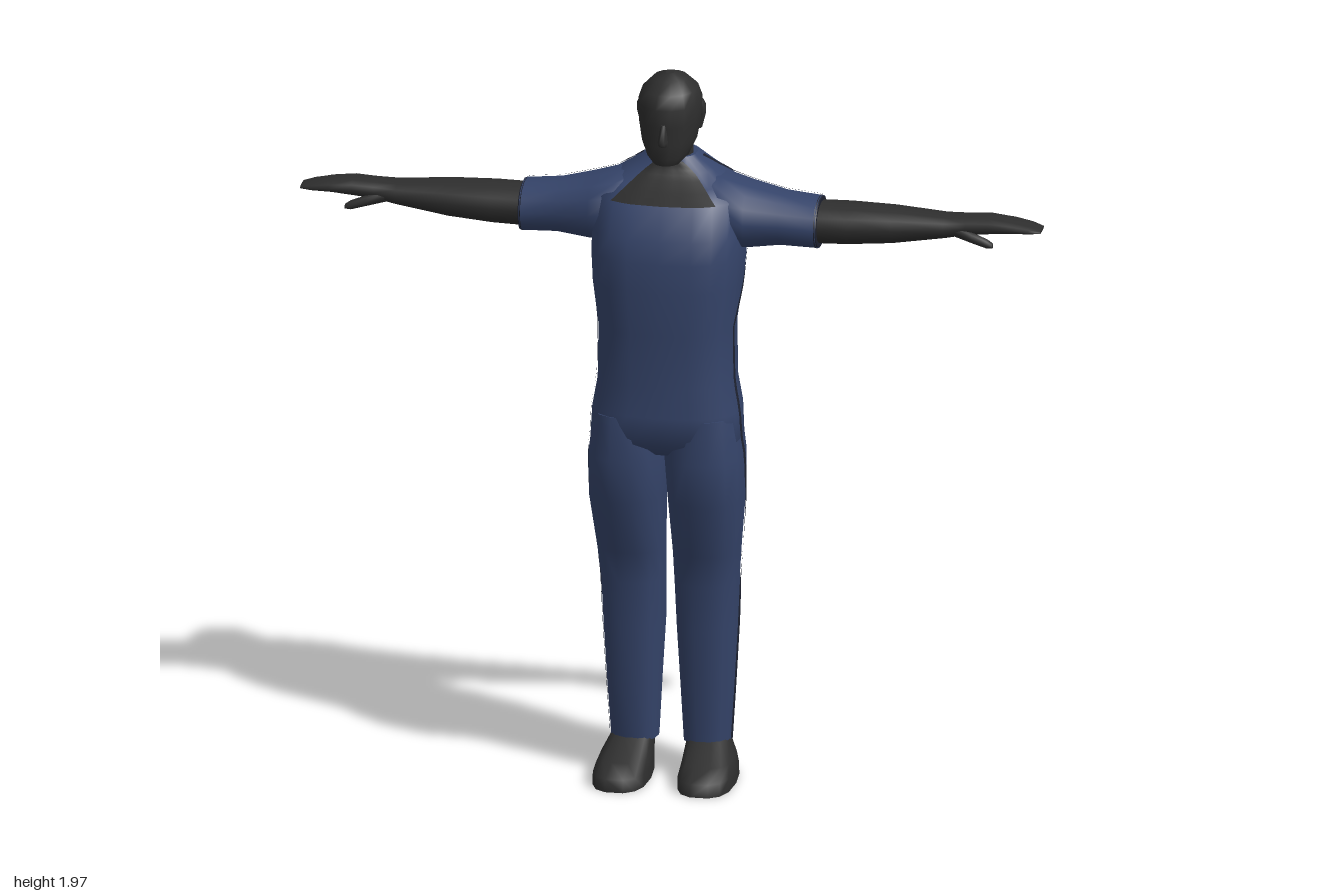
import * as THREE from 'three';

const paint = (name, color, side = THREE.FrontSide) => {
  const m = new THREE.MeshStandardMaterial({ color, side });
  m.name = name;
  return m;
};

// Skin of rounded rings: each section is [position, aMin, aMax, bMin, bMax].
// Along y: a = x, b = z.  Along x: a = z, b = y.
function loft(axis, sections, power = 2.2, sides = 14) {
  const pos = [], idx = [];
  const place = (s, a, b) => (axis === 'y' ? pos.push(a, s, b) : pos.push(s, b, a));
  const ring = ([s, a0, a1, b0, b1]) => {
    for (let j = 0; j < sides; j++) {
      const t = (j / sides) * Math.PI * 2, c = Math.cos(t), n = Math.sin(t);
      place(s,
        (a0 + a1) / 2 + ((a1 - a0) / 2) * Math.sign(c) * Math.abs(c) ** (2 / power),
        (b0 + b1) / 2 + ((b1 - b0) / 2) * Math.sign(n) * Math.abs(n) ** (2 / power));
    }
  };
  sections.forEach(ring);
  for (let i = 0; i < sections.length - 1; i++) {
    for (let j = 0; j < sides; j++) {
      const a = i * sides + j, b = i * sides + (j + 1) % sides;
      idx.push(a, a + sides, b, b, a + sides, b + sides);
    }
  }
  // End caps with their own vertices, so the rims stay sharp
  [sections[0], sections[sections.length - 1]].forEach((s, end) => {
    const base = pos.length / 3;
    ring(s);
    place(s[0], (s[1] + s[2]) / 2, (s[3] + s[4]) / 2);
    for (let j = 0; j < sides; j++) {
      const p = base + j, q = base + (j + 1) % sides;
      idx.push(base + sides, end ? q : p, end ? p : q);
    }
  });
  return build(pos, idx);
}

function build(pos, idx) {
  const g = new THREE.BufferGeometry();
  g.setAttribute('position', new THREE.Float32BufferAttribute(pos, 3));
  g.setIndex(idx);
  g.computeVertexNormals();
  return g;
}

function mirrored(geometry) {
  const g = geometry.clone().scale(-1, 1, 1), ix = g.index.array;
  for (let i = 0; i < ix.length; i += 3) [ix[i], ix[i + 1]] = [ix[i + 1], ix[i]];
  g.computeVertexNormals();
  return g;
}

// Ribbon between two edge curves, dropped onto the target meshes along dir
function ribbon(targets, edgeA, edgeB, dir, rows = 24, cols = 1) {
  const pos = [], idx = [], ray = new THREE.Raycaster();
  const w = cols + 1;
  for (let i = 0; i <= rows; i++) {
    for (let j = 0; j <= cols; j++) {
      const p = edgeA(i / rows).lerp(edgeB(i / rows), j / cols);
      ray.set(p.clone().addScaledVector(dir, -3), dir);
      const hit = ray.intersectObjects(targets)[0];
      const q = hit ? hit.point : p;
      q.addScaledVector(dir, -0.004);
      pos.push(q.x, q.y, q.z);
      if (i < rows && j < cols) {
        const a = i * w + j;
        idx.push(a, a + 1, a + w, a + 1, a + w + 1, a + w);
      }
    }
  }
  return build(pos, idx);
}

// Stripe of constant width along a polyline of [x, y, z]
function stripe(targets, points, dir, side, rows) {
  const path = new THREE.CurvePath(), v = points.map((p) => new THREE.Vector3(...p));
  for (let i = 1; i < v.length; i++) path.add(new THREE.LineCurve3(v[i - 1], v[i]));
  const edge = (k) => (t) => path.getPoint(t).addScaledVector(side, k);
  return ribbon(targets, edge(-1), edge(1), dir, rows);
}

export function createModel() {
  const model = new THREE.Group();
  model.name = 'figure';
  const suit = paint('navy suit', 0x35446a);
  const dark = paint('charcoal', 0x2e2e2e);
  const panelDark = paint('charcoal panel', 0x2e2e2e, THREE.DoubleSide);
  panelDark.color.set(0x2b2b2b);
  const trim = paint('dark trim', 0x1e2230, THREE.DoubleSide);

  const add = (name, geometry, material) => {
    const m = new THREE.Mesh(geometry, material);
    m.name = name;
    model.add(m);
    return m;
  };
  const pair = (name, geometry, material) => {
    add('right' + name, mirrored(geometry), material);
    return add('left' + name, geometry, material);
  };

  // Torso: [y, half width, back z, front z]
  const torso = add('torso', loft('y', [
    [0.93, 0.17, -0.07, 0.11], [0.97, 0.205, -0.105, 0.155], [1.05, 0.2, -0.12, 0.163],
    [1.13, 0.186, -0.11, 0.15], [1.28, 0.183, -0.13, 0.163], [1.4, 0.2, -0.15, 0.165],
    [1.48, 0.205, -0.165, 0.163], [1.54, 0.205, -0.173, 0.15], [1.63, 0.198, -0.18, 0.112],
    [1.66, 0.17, -0.168, 0.055], [1.69, 0.12, -0.148, 0.01], [1.73, 0.065, -0.125, -0.005],
  ].map(([y, r, b, f]) => [y, -r, r, b, f]), 2.7, 20), suit);

  // Trouser legs: [y, inner x, outer x, back z, front z]
  const leg = pair('Leg', loft('y', [
    [0.095, 0.034, 0.162, -0.105, 0.032], [0.25, 0.026, 0.172, -0.118, 0.048],
    [0.42, 0.016, 0.182, -0.13, 0.06], [0.55, 0.012, 0.186, -0.112, 0.07],
    [0.64, 0.01, 0.194, -0.1, 0.088], [0.8, 0.004, 0.209, -0.104, 0.148],
    [0.92, -0.004, 0.21, -0.107, 0.16], [1.04, 0.01, 0.195, -0.1, 0.15],
  ], 2.4, 14), suit);

  // Shoes with a low toe
  pair('Shoe', loft('y', [
    [0, 0.04, 0.19, -0.092, 0.188], [0.035, 0.04, 0.189, -0.092, 0.185],
    [0.06, 0.042, 0.18, -0.09, 0.12], [0.11, 0.045, 0.155, -0.088, 0.02],
  ], 2.7, 14), dark);

  // Short sleeves: [x, back z, front z, bottom y, top y]
  const sleeve = pair('Sleeve', loft('x', [
    [0.07, -0.15, 0.02, 1.52, 1.69], [0.14, -0.165, 0.08, 1.49, 1.68],
    [0.21, -0.153, 0.068, 1.485, 1.66], [0.3, -0.138, 0.045, 1.495, 1.637],
    [0.4, -0.13, 0.04, 1.492, 1.628],
  ], 2.3, 14), suit);
  pair('Cuff', loft('x', [
    [0.396, -0.131, 0.041, 1.491, 1.629], [0.403, -0.128, 0.038, 1.494, 1.626],
  ], 2.3, 14), trim);

  // Arms running out into flat hands
  pair('Arm', loft('x', [
    [0.36, -0.122, 0.03, 1.505, 1.615], [0.48, -0.122, 0.028, 1.508, 1.617],
    [0.6, -0.112, 0.02, 1.518, 1.615], [0.74, -0.098, 0.004, 1.54, 1.604],
    [0.8, -0.095, 0.002, 1.553, 1.605], [0.86, -0.098, 0.006, 1.56, 1.608],
    [0.92, -0.092, 0.008, 1.567, 1.602], [0.97, -0.082, 0.004, 1.57, 1.592],
    [1, -0.07, -0.01, 1.572, 1.582],
  ], 2.2, 12), dark);
  pair('Thumb', loft('x', [
    [0.77, -0.035, 0, 1.55, 1.585], [0.82, -0.018, 0.014, 1.54, 1.57],
    [0.86, -0.01, 0.018, 1.53, 1.556], [0.875, -0.005, 0.014, 1.532, 1.545],
  ], 2, 8), dark);

  // Neck, head, nose and ears
  add('neck', loft('y', [
    [1.68, -0.062, 0.062, -0.118, 0.005], [1.74, -0.055, 0.055, -0.103, -0.005],
    [1.8, -0.06, 0.06, -0.11, 0.02],
  ], 2, 12), dark);
  add('head', loft('y', [
    [1.73, 0.036, -0.01, 0.076], [1.75, 0.056, -0.06, 0.086], [1.79, 0.074, -0.108, 0.09],
    [1.84, 0.083, -0.122, 0.09], [1.89, 0.086, -0.125, 0.094], [1.925, 0.074, -0.108, 0.075],
    [1.953, 0.046, -0.07, 0.035], [1.966, 0.012, -0.03, 0],
  ].map(([y, r, b, f]) => [y, -r, r, b, f]), 2.1, 14), dark);
  add('nose', loft('y', [
    [1.79, -0.014, 0.014, 0.07, 0.1], [1.803, -0.014, 0.014, 0.07, 0.114],
    [1.85, -0.007, 0.007, 0.07, 0.094],
  ], 2, 6), dark);
  pair('Ear', loft('y', [
    [1.81, 0.07, 0.083, -0.045, -0.02], [1.85, 0.075, 0.093, -0.055, -0.015],
    [1.87, 0.075, 0.093, -0.055, -0.015], [1.885, 0.075, 0.086, -0.05, -0.02],
  ], 2, 8), dark);

  // Dark neckline panel across the upper chest
  const X = new THREE.Vector3(1, 0, 0), Y = new THREE.Vector3(0, 1, 0), Z = new THREE.Vector3(0, 0, 1);
  const neckEdge = (s) => (t) => new THREE.Vector3(s * (0.142 - 0.105 * t), 1.63 + 0.09 * t, 0);
  add('necklinePanel', ribbon([torso], neckEdge(-1), neckEdge(1), Z.clone().negate(), 8, 10), panelDark);

  // Side stripes from armpit to ankle
  pair('SideStripe', stripe([torso, leg], [
    [0, 1.48, -0.02], [0, 1.28, 0.05], [0, 1, 0.05], [0, 0.85, 0.03], [0, 0.62, -0.02], [0, 0.1, -0.025],
  ], X.clone().negate(), Z.clone().multiplyScalar(0.008), 40), trim);

  // Shoulder stripes along the sleeve tops to the collar
  pair('ShoulderStripe', stripe([torso, sleeve], [
    [0.398, 0, -0.095], [0.23, 0, -0.085], [0.165, 0, -0.11], [0.08, 0, -0.065],
  ], Y.clone().negate(), Z.clone().multiplyScalar(0.008), 24), trim);

  // Seams behind the knees
  pair('KneeSeam', stripe([leg], [[0.025, 0.625, 0], [0.1, 0.62, 0], [0.185, 0.605, 0]],
    Z, Y.clone().multiplyScalar(0.005), 12), trim);

  return model;
}
